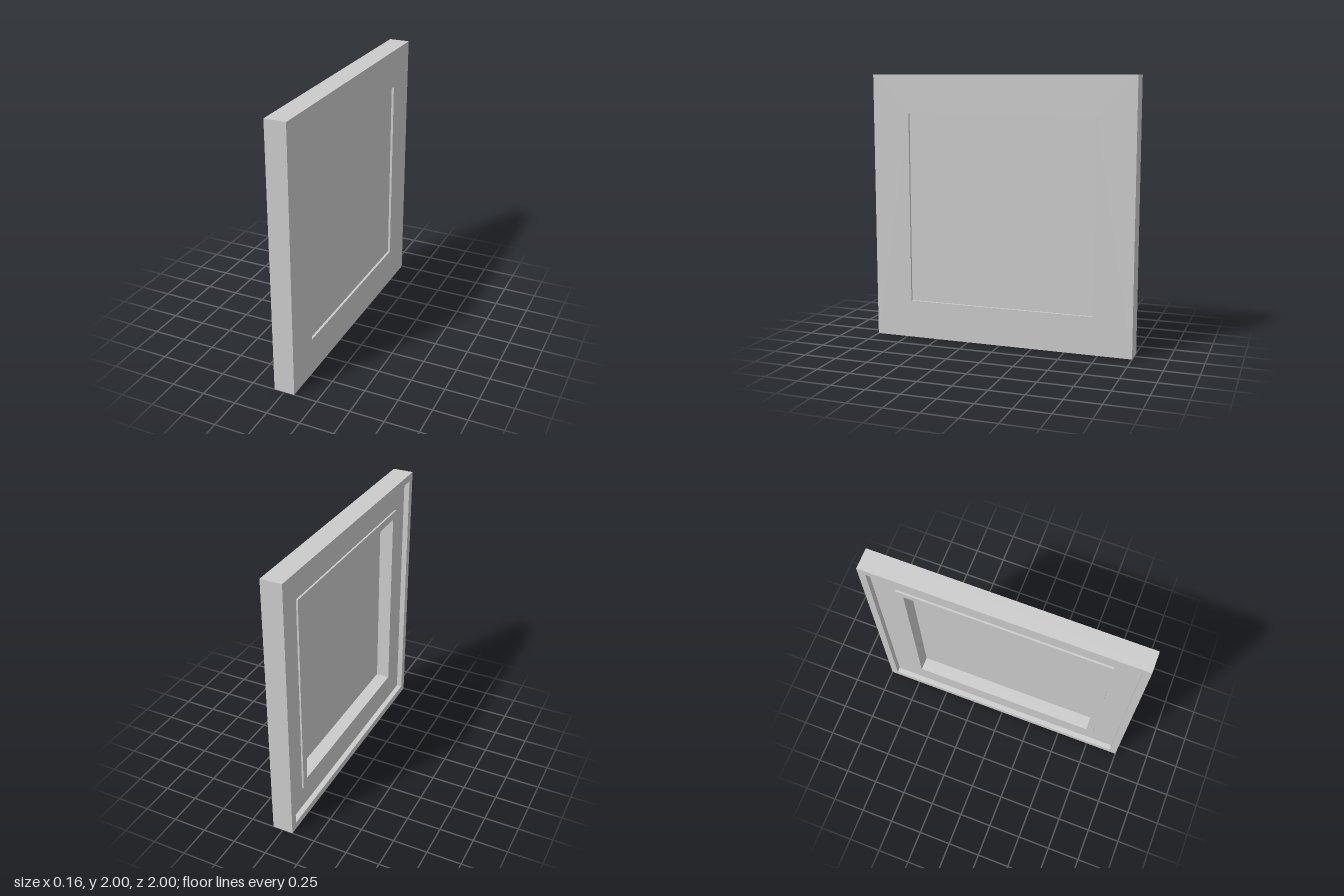
import * as THREE from 'three';

const material = new THREE.MeshStandardMaterial({ color: 0xcccccc, flatShading: true });

// Trace a centred square onto a shape or hole path
function square(path, half) {
  path.moveTo(-half, -half);
  path.lineTo(half, -half);
  path.lineTo(half, half);
  path.lineTo(-half, half);
  path.closePath();
  return path;
}

// Square ring standing in the yz plane, spanning x0 to x1
function ring(name, outer, inner, x0, x1) {
  const shape = square(new THREE.Shape(), outer);
  shape.holes.push(square(new THREE.Path(), inner));
  const geometry = new THREE.ExtrudeGeometry(shape, { depth: x1 - x0, bevelEnabled: false });
  geometry.rotateY(Math.PI / 2);
  geometry.translate(x0, 1, 0);
  const mesh = new THREE.Mesh(geometry, material);
  mesh.name = name;
  return mesh;
}

export function createModel() {
  const group = new THREE.Group();
  group.name = 'framedPanel';

  const face = 0.0775; // half the frame thickness
  const floor = -0.0365; // recessed back surface
  const opening = 0.715;

  // Broad frame, with a rim and a low lip on its back
  group.add(ring('frame', 1, opening, floor, face));
  group.add(ring('backRim', 1, 0.945, -face, floor));
  group.add(ring('openingLip', 0.77, opening, -0.05, floor));

  // Thin panel set just behind the face
  const panel = new THREE.Mesh(new THREE.BoxGeometry(0.006, 2 * opening, 2 * opening), material);
  panel.name = 'panel';
  panel.position.set(0.0565, 1, 0);
  group.add(panel);

  return group;
}
